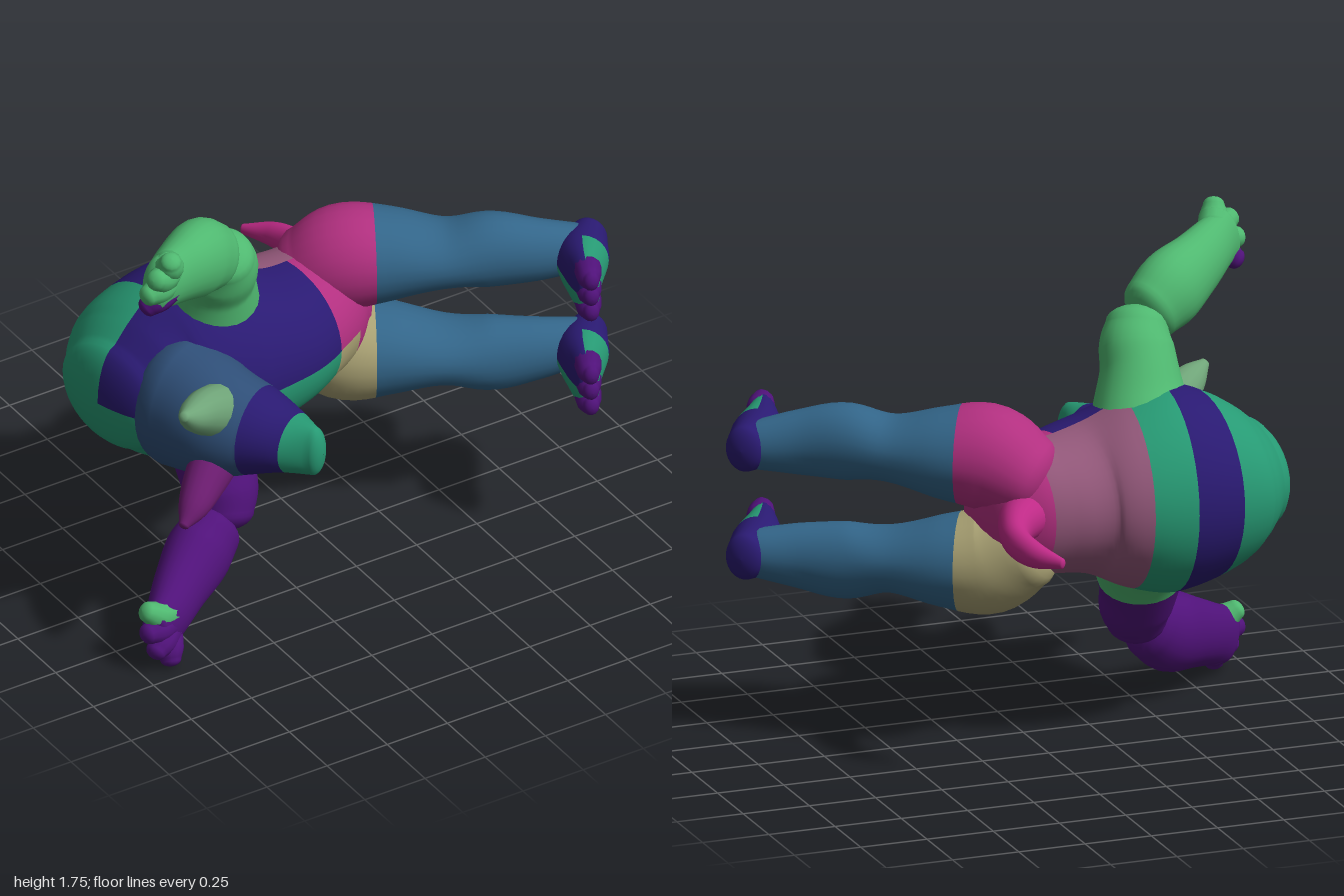
import * as THREE from 'three';

const MID = 0.885; // height of the body's plane of symmetry
const GREEN = 0x4fb870, TEAL = 0x279a74, INDIGO = 0x2a1a72, PURPLE = 0x50127a;
const MAUVE = 0x93587a, PINK = 0xb23080, KHAKI = 0xaaa274, BLUE = 0x33668a;

// Smooth loft with rounded ends.
// pts: [x, y offset from MID, z, radius along ref, radius across]; side mirrors y.
// bands: [end of band (0..1), colour, front upper colour, front lower colour]
function loft(name, pts, bands, { side = 1, ref = [0, 1, 0], cap = 0.6, segs = 24, steps = 32 } = {}) {
  const path = new THREE.CatmullRomCurve3(
    pts.map(p => new THREE.Vector3(p[0], MID + side * p[1], p[2])), false, 'catmullrom');
  const radii = new THREE.CatmullRomCurve3(
    pts.map(p => new THREE.Vector3(p[3], p[4] ?? p[3], 0)), false, 'catmullrom');
  const refV = new THREE.Vector3(...ref);

  // rings: [u, shift along tangent, scale]
  const rings = [], N = 6;
  for (let i = 0; i < N; i++) {
    const a = (i / N) * Math.PI / 2;
    rings.push([0, -Math.cos(a) * cap, Math.max(Math.sin(a), 0.002)]);
  }
  for (let i = 0; i <= steps; i++) rings.push([i / steps, 0, 1]);
  for (let i = N - 1; i >= 0; i--) {
    const a = (i / N) * Math.PI / 2;
    rings.push([1, Math.cos(a) * cap, Math.max(Math.sin(a), 0.002)]);
  }

  const pos = [];
  for (const [u, shift, scale] of rings) {
    const t = path.getTangent(u), r = radii.getPoint(u);
    const A = refV.clone().addScaledVector(t, -refV.dot(t)).normalize();
    const B = t.clone().cross(A);
    const c = path.getPoint(u).addScaledVector(t, shift * Math.min(r.x, r.y));
    for (let j = 0; j < segs; j++) {
      const a = (j / segs) * Math.PI * 2;
      const v = c.clone().addScaledVector(A, Math.cos(a) * r.x * scale)
        .addScaledVector(B, Math.sin(a) * r.y * scale);
      pos.push(v.x, v.y, v.z);
    }
  }

  // quads are collected per colour, one material group each
  const faces = new Map();
  for (let i = 0; i < rings.length - 1; i++) {
    const [, back, up = back, down = back] = bands.find(b => rings[i][0] < b[0]) ?? bands.at(-1);
    for (let j = 0; j < segs; j++) {
      const angle = ((j + 0.5) / segs) * Math.PI * 2;
      const colour = Math.sin(angle) < 0 ? back : Math.cos(angle) > 0 ? up : down;
      if (!faces.has(colour)) faces.set(colour, []);
      const k = (j + 1) % segs, a = i * segs, b = a + segs;
      faces.get(colour).push(a + j, a + k, b + k, a + j, b + k, b + j);
    }
  }
  const geo = new THREE.BufferGeometry(), index = [], materials = [];
  for (const [color, list] of faces) {
    geo.addGroup(index.length, list.length, materials.length);
    index.push(...list);
    materials.push(new THREE.MeshStandardMaterial({ color }));
  }
  geo.setAttribute('position', new THREE.Float32BufferAttribute(pos, 3));
  geo.setIndex(index);
  geo.computeVertexNormals();
  const mesh = new THREE.Mesh(geo, materials);
  mesh.name = name;
  return mesh;
}

function createArm(side) {
  const arm = new THREE.Group();
  arm.name = side > 0 ? 'upperSideArm' : 'lowerSideArm';
  const main = side > 0 ? GREEN : PURPLE, accent = side > 0 ? PURPLE : GREEN;
  const opt = { side, ref: [0.5, 0, 0.86] };
  arm.add(loft('upperArm', [
    [-0.44, 0.16, -0.06, 0.22, 0.24], [-0.445, 0.29, 0.0, 0.17, 0.18], [-0.455, 0.4, 0.045, 0.14, 0.145],
    [-0.46, 0.48, 0.09, 0.13, 0.135], [-0.475, 0.545, 0.125, 0.11],
  ], [[0.4, GREEN], [1, main]], opt));
  arm.add(loft('forearm', [
    [-0.54, 0.585, 0.15, 0.105, 0.125], [-0.63, 0.635, 0.195, 0.115, 0.145], [-0.75, 0.68, 0.275, 0.095, 0.125],
    [-0.85, 0.72, 0.35, 0.075, 0.11], [-0.915, 0.74, 0.39, 0.055, 0.105],
  ], [[1, main]], opt));
  // stubby fingers around the palm
  const tips = [[-0.885, 0.845, 0.43], [-0.945, 0.79, 0.43], [-0.965, 0.72, 0.41], [-0.95, 0.65, 0.38]];
  tips.forEach(([x, y, z], i) => arm.add(loft('finger', [
    [-0.86, 0.5 * (y + 0.73), 0.37, 0.055],
    [0.5 * (x - 0.87), 0.7 * y + 0.22, 0.5 * (z + 0.39), 0.052],
    [x, y, z, 0.038],
  ], [[1, i === 3 ? accent : main]], { ...opt, cap: 0.7, segs: 12, steps: 8 })));
  return arm;
}

function createLeg(side) {
  const leg = new THREE.Group();
  leg.name = side > 0 ? 'upperSideLeg' : 'lowerSideLeg';
  leg.add(loft('leg', [
    [0.05, 0.13, -0.17, 0.15, 0.17], [0.16, 0.19, -0.09, 0.19, 0.19], [0.3, 0.2, -0.01, 0.165, 0.18],
    [0.46, 0.205, 0.095, 0.118, 0.15], [0.6, 0.22, 0.18, 0.138, 0.125], [0.74, 0.21, 0.255, 0.118, 0.1],
    [0.88, 0.2, 0.31, 0.09, 0.08],
  ], [[0.28, side > 0 ? PINK : KHAKI], [1, BLUE]], { side }));
  leg.add(loft('foot', [
    [0.94, 0.2, 0.285, 0.085, 0.07], [0.86, 0.2, 0.375, 0.105, 0.095],
    [0.795, 0.2, 0.49, 0.11, 0.065], [0.765, 0.2, 0.565, 0.105, 0.042],
  ], [[0.35, INDIGO], [1, TEAL, INDIGO]], { side, cap: 0.6 }));
  for (const dy of [-0.065, 0, 0.065]) {
    leg.add(loft('toe', [
      [0.79, 0.2 + dy, 0.52, 0.045, 0.05], [0.765, 0.2 + dy, 0.57, 0.044], [0.757, 0.2 + dy, 0.597, 0.038, 0.03],
    ], [[1, PURPLE]], { side, segs: 12, steps: 8, cap: 0.8 }));
  }
  return leg;
}

export function createModel() {
  const model = new THREE.Group();
  model.name = 'recliningCreature';

  // torso, from the shoulders to the hips
  model.add(loft('torso', [
    [-0.83, 0, -0.03, 0.205, 0.24], [-0.75, 0, -0.05, 0.275, 0.305], [-0.64, 0, -0.075, 0.34, 0.335],
    [-0.5, 0, -0.08, 0.375, 0.35], [-0.35, 0, -0.075, 0.345, 0.345], [-0.2, 0, -0.07, 0.28, 0.31],
    [-0.05, 0, -0.1, 0.25, 0.265], [0.08, 0, -0.13, 0.24, 0.22], [0.16, 0, -0.15, 0.2, 0.17],
  ], [[0.25, TEAL, INDIGO, TEAL], [0.36, INDIGO, INDIGO, TEAL], [0.48, TEAL, INDIGO, TEAL],
    [0.72, MAUVE, INDIGO, TEAL], [0.85, MAUVE, PINK, KHAKI], [1, PINK]],
  { cap: 0.42, segs: 40, steps: 48 }));

  // head with a blunt muzzle
  model.add(loft('head', [
    [-0.65, 0, 0.14, 0.25, 0.21], [-0.6, 0, 0.3, 0.215, 0.2], [-0.525, 0, 0.43, 0.165, 0.165],
    [-0.47, 0, 0.54, 0.12, 0.12], [-0.425, 0, 0.645, 0.1, 0.05],
  ], [[0.5, 0x2f4f78], [0.8, INDIGO], [1, TEAL]], { cap: 0.8, segs: 32 }));

  for (const side of [1, -1]) {
    // broad pointed ear
    model.add(loft('ear', [
      [-0.64, 0.09, 0.36, 0.1, 0.09], [-0.74, 0.15, 0.42, 0.085, 0.075],
      [-0.82, 0.195, 0.475, 0.058, 0.055], [-0.88, 0.23, 0.51, 0.02],
    ], [[1, side > 0 ? 0x6fa478 : 0x6c1c70]], { side, segs: 16, steps: 16 }));
    // brow bulge
    model.add(loft('brow', [
      [-0.57, 0.11, 0.41, 0.05], [-0.5, 0.1, 0.46, 0.045],
    ], [[1, 0x3a4a70]], { side, segs: 14, steps: 6 }));
    model.add(createArm(side), createLeg(side));
  }

  // curved tail
  model.add(loft('tail', [
    [0.08, 0.02, -0.24, 0.09, 0.1], [0.165, 0.015, -0.36, 0.075, 0.065], [0.205, 0, -0.47, 0.06, 0.048],
    [0.185, -0.015, -0.59, 0.048, 0.04], [0.12, -0.025, -0.69, 0.02, 0.015],
  ], [[1, 0xbe2a86]]));

  return model;
}
